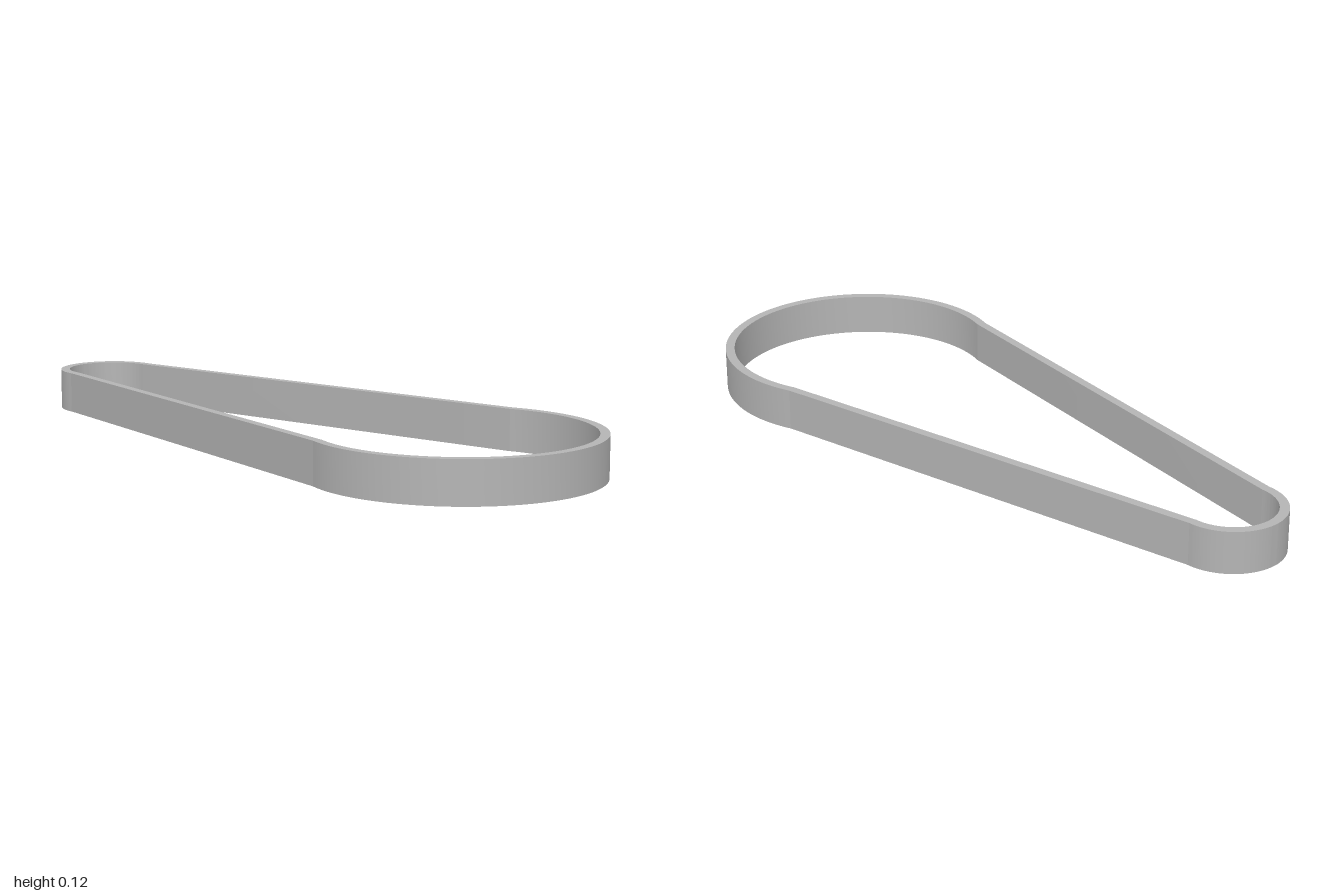
import * as THREE from 'three';
import { toCreasedNormals } from 'three/addons/utils/BufferGeometryUtils.js';

const HEIGHT = 0.117;
const THICKNESS = 0.026;
const BIG = { x: 0.603, r: 0.397, wrap: THREE.MathUtils.degToRad(110) };
const SMALL = { x: -0.85, r: 0.15 };

// Closed loop around the two pulley ends, moved inward by inset
function traceLoop(path, inset) {
  path.absarc(BIG.x, 0, BIG.r - inset, -BIG.wrap, BIG.wrap, false);
  path.absarc(SMALL.x, 0, SMALL.r - inset, Math.PI / 2, Math.PI * 1.5, false);
  path.closePath();
  return path;
}

export function createModel() {
  const model = new THREE.Group();
  model.name = 'driveBelt';

  const grey = new THREE.MeshStandardMaterial({ color: 0xb4b4b4 });
  grey.name = 'grey';

  // Belt band: outer loop with the inner loop cut out
  const outline = traceLoop(new THREE.Shape(), 0);
  outline.holes.push(traceLoop(new THREE.Path(), THICKNESS));
  const band = new THREE.ExtrudeGeometry(outline, {
    depth: HEIGHT, bevelEnabled: false, curveSegments: 48,
  });
  band.rotateX(-Math.PI / 2);

  const belt = new THREE.Mesh(toCreasedNormals(band, THREE.MathUtils.degToRad(8)), grey);
  belt.name = 'beltBand';
  model.add(belt);
  return model;
}
